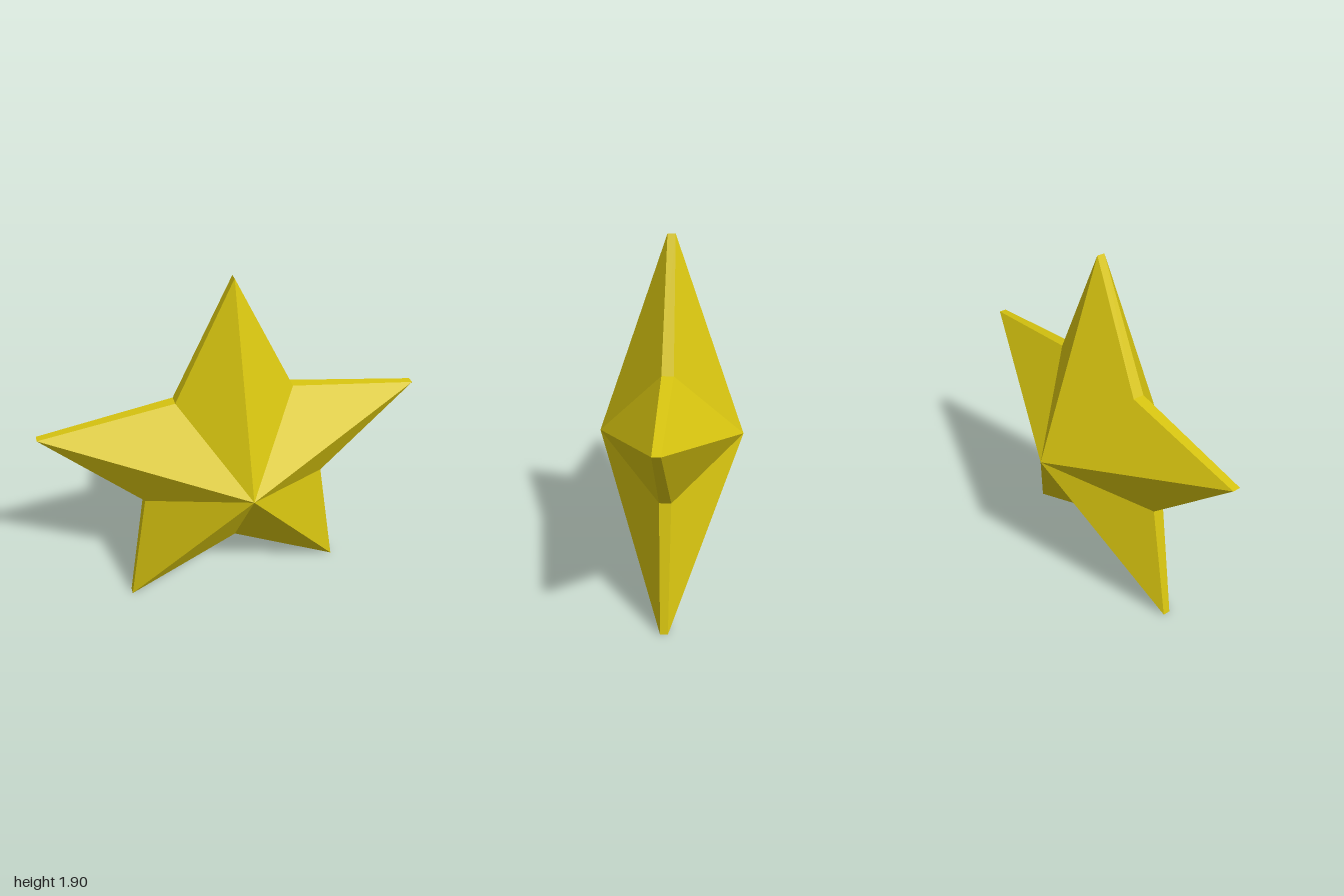
import * as THREE from 'three';

const POINTS = 5;
const OUTER = 1 / Math.cos(Math.PI / 10); // arm tips reach x = +-1
const INNER = OUTER / 2;
const CENTRE_Y = OUTER * Math.cos(Math.PI / 5); // lower tips rest on y = 0
const APEX = 0.385;

// Corner i of the star outline: tips are even, notches odd; the notches are slightly thicker
function corner(i, side) {
  const a = Math.PI / 2 + (i * Math.PI) / POINTS;
  const tip = i % 2 === 0;
  const r = tip ? OUTER : INNER;
  return [r * Math.cos(a), r * Math.sin(a), side * (tip ? 0.02 : 0.03)];
}

function facetedMesh(name, triangles, material) {
  const geometry = new THREE.BufferGeometry();
  geometry.setAttribute('position', new THREE.Float32BufferAttribute(triangles.flat(), 3));
  geometry.computeVertexNormals();
  const mesh = new THREE.Mesh(geometry, material);
  mesh.name = name;
  return mesh;
}

export function createModel() {
  const material = new THREE.MeshStandardMaterial({ color: 0xd8c510, flatShading: true });
  const front = [], back = [], rim = [];

  for (let i = 0; i < POINTS * 2; i++) {
    const f0 = corner(i, 1), f1 = corner(i + 1, 1);
    const b0 = corner(i, -1), b1 = corner(i + 1, -1);
    front.push([0, 0, APEX], f0, f1);
    back.push([0, 0, -APEX], b1, b0);
    rim.push(f0, b0, b1, f0, b1, f1);
  }

  const star = new THREE.Group();
  star.name = 'star';
  star.position.y = CENTRE_Y;
  star.add(
    facetedMesh('frontFacets', front, material),
    facetedMesh('backFacets', back, material),
    facetedMesh('rim', rim, material)
  );

  const model = new THREE.Group();
  model.name = 'facetedStar';
  model.add(star);
  return model;
}
